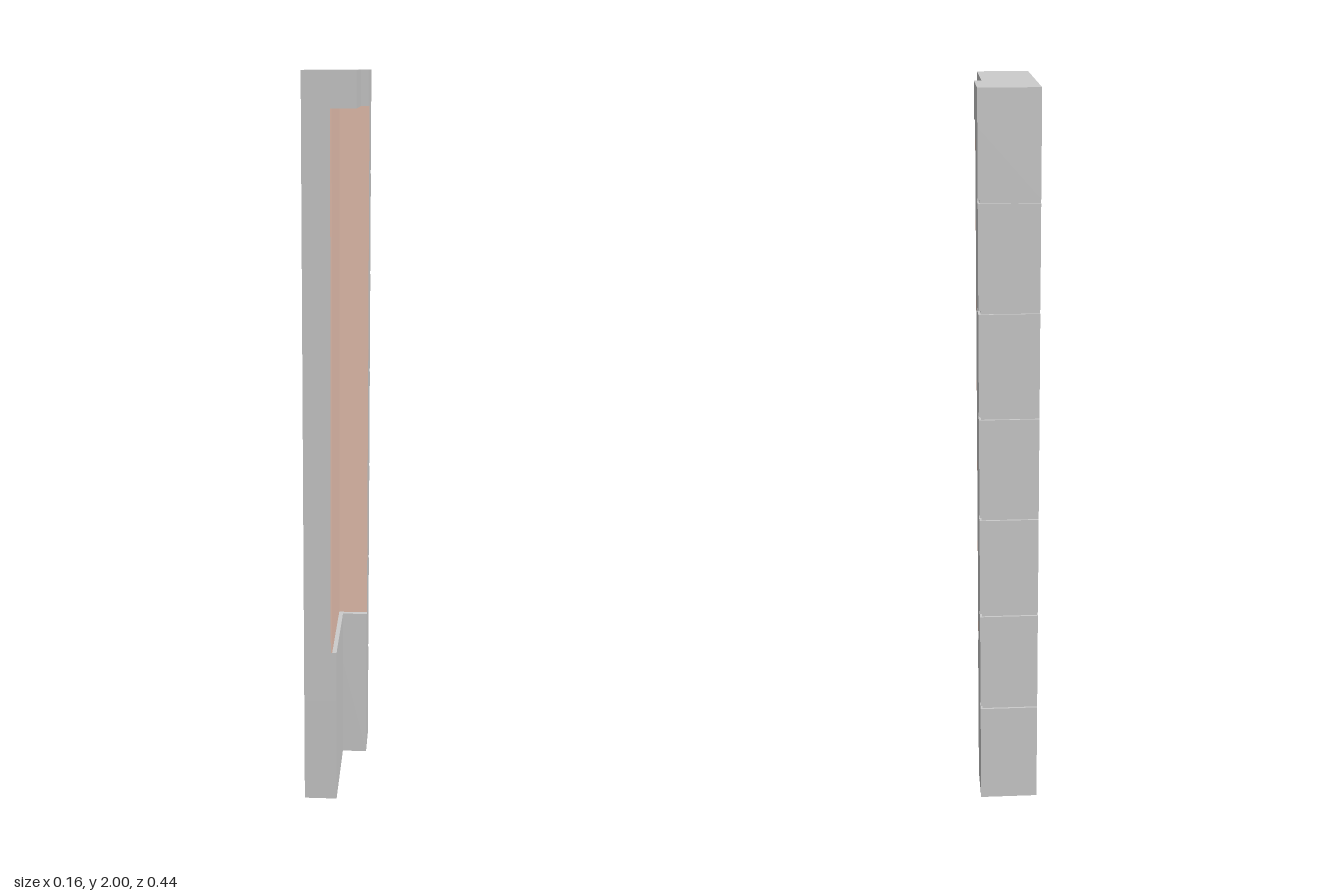
import * as THREE from 'three';

const LEFT = -0.08, RIGHT = 0.08, FRONT = 0.22, BACK = -0.22;
const grey = new THREE.MeshStandardMaterial({ color: 0xcccccc, flatShading: true });
const tan = new THREE.MeshStandardMaterial({ color: 0xe8c2b0, flatShading: true });

// Extrudes a plan outline of [x, z] points upward from y0 to y1
function slab(name, points, y0, y1, material = grey) {
  const shape = new THREE.Shape(points.map(([x, z]) => new THREE.Vector2(x, -z)));
  const geometry = new THREE.ExtrudeGeometry(shape, { depth: y1 - y0, bevelEnabled: false });
  geometry.rotateX(-Math.PI / 2);
  geometry.translate(0, y0, 0);
  const mesh = new THREE.Mesh(geometry, material);
  mesh.name = name;
  return mesh;
}

// L-shaped plan: a side wall up to stepX and a back post behind stepZ
function plan(stepX, stepZ, grooved) {
  const cut = 0.006;
  const back = grooved ? BACK + cut : BACK;
  const post = grooved
    ? [[RIGHT, -0.18], [RIGHT - cut, -0.18], [RIGHT - cut, back]]
    : [[RIGHT, back]];
  return [[LEFT, FRONT], [stepX, FRONT], [stepX, stepZ], [RIGHT, stepZ], ...post, [LEFT, back]];
}

export function createModel() {
  const group = new THREE.Group();
  group.name = 'cornerFrame';

  // Three zones with different recess depths
  const zones = [
    { name: 'base', y0: 0, y1: 0.44, x: 0.01, z: -0.085 },
    { name: 'recessWall', y0: 0.44, y1: 1.905, x: -0.006, z: -0.104 },
    { name: 'topLintel', y0: 1.905, y1: 2, x: 0.06, z: -0.04 },
  ];
  // Evenly spaced joints around the back post
  const joints = Array.from({ length: 6 }, (_, i) => (i + 1) * 2 / 7 + 0.005);
  const half = 0.005;

  for (const { name, y0, y1, x, z } of zones) {
    let y = y0;
    for (const joint of joints.filter((j) => j > y0 && j < y1)) {
      group.add(slab(name, plan(x, z, false), y, joint - half));
      group.add(slab(name + 'Joint', plan(x, z, true), joint - half, joint + half));
      y = joint + half;
    }
    group.add(slab(name, plan(x, z, false), y, y1));
  }

  // Coloured lining on the two inner faces of the recess
  const lining = [[-0.006, FRONT], [-0.002, FRONT], [-0.002, -0.1], [RIGHT, -0.1], [RIGHT, -0.104], [-0.006, -0.104]];
  group.add(slab('recessLining', lining, 0.44, 1.905, tan));
  return group;
}
